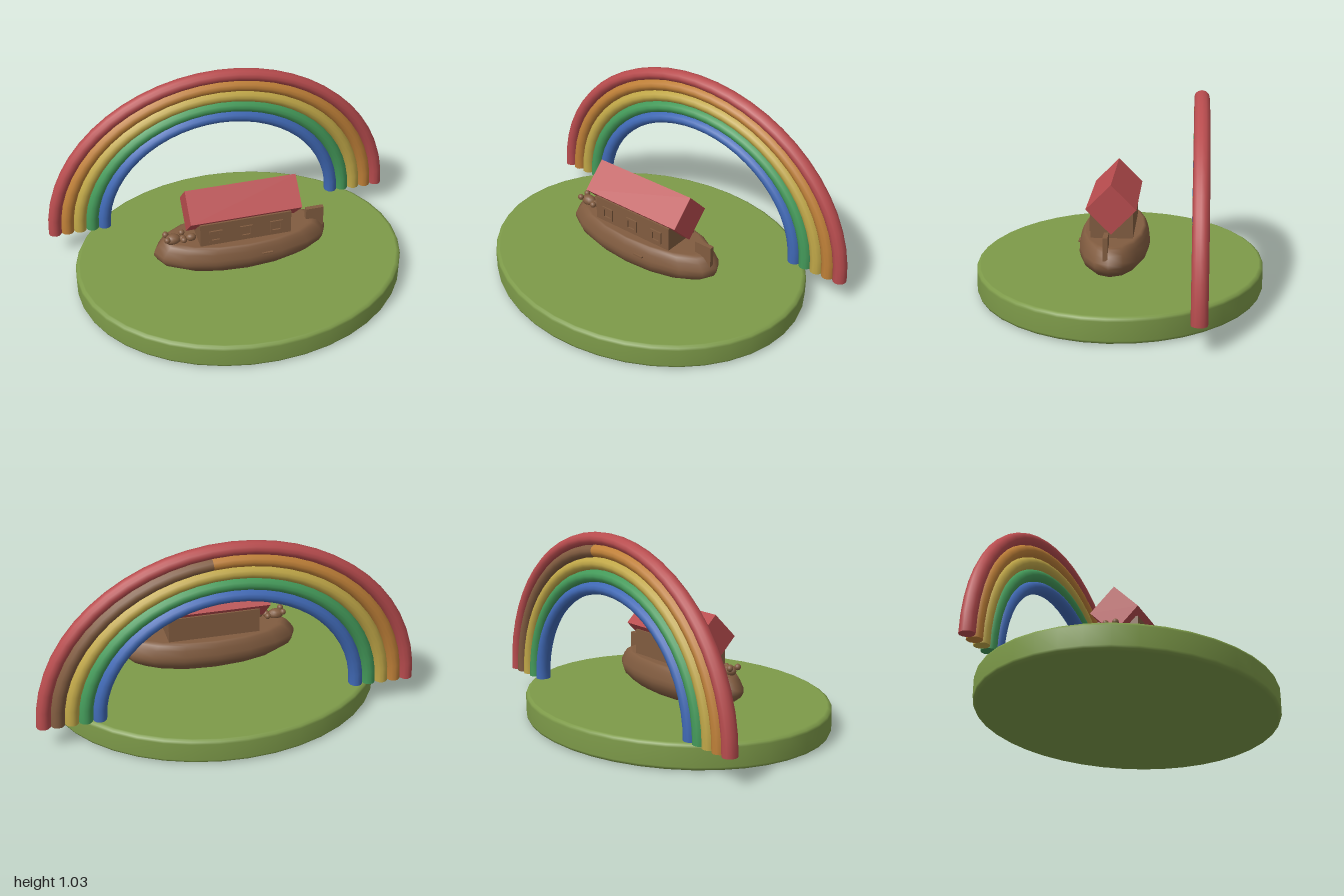
import * as THREE from 'three';

const mat = (name, color) => {
  const m = new THREE.MeshStandardMaterial({ color });
  m.name = name;
  return m;
};

export function createModel() {
  const model = new THREE.Group();
  const red = mat('red', 0xb84c4e), orange = mat('orange', 0xbf8038), yellow = mat('yellow', 0xc0a748);
  const green = mat('green', 0x449a5a), blue = mat('blue', 0x4069b5);
  const wood = mat('wood brown', 0x815c40), grass = mat('grass green', 0x7d9a49);

  const add = (name, geo, material, x = 0, y = 0, z = 0, parent = model) => {
    const m = new THREE.Mesh(geo, material);
    m.name = name;
    m.position.set(x, y, z);
    parent.add(m);
    return m;
  };
  const box = (w, h, d) => new THREE.BoxGeometry(w, h, d);
  const lathe = (points, segments) =>
    new THREE.LatheGeometry(points.map(([r, y]) => new THREE.Vector2(r, y)), segments);

  // Oval ground with softened rims
  add('ground', lathe([[0, 0], [0.88, 0], [0.887, 0.001], [0.9, 0.008], [0.905, 0.02], [0.905, 0.115],
    [0.9, 0.127], [0.887, 0.134], [0.88, 0.135], [0, 0.135]], 40), grass).scale.z = 0.848;

  // Rainbow: five nested half rings, slightly flattened
  const rainbow = new THREE.Group();
  rainbow.name = 'rainbow';
  rainbow.position.set(0, 0.135, -0.425);
  rainbow.scale.set(1, 0.9, 1.08);
  model.add(rainbow);
  const tube = 0.037;
  [['red', red], ['orange', orange], ['yellow', yellow], ['green', green], ['blue', blue]].forEach(([name, m], i) => {
    const r = 0.963 - i * 0.0705;
    const arc = new THREE.TorusGeometry(r, tube, 12, 28, Math.PI);
    let paint = m;
    if (name === 'orange') {
      // Brown rear face on the left half of the orange band
      const p = arc.attributes.position, idx = arc.index.array, front = [], rear = [];
      for (let t = 0; t < idx.length; t += 3) {
        const tri = [idx[t], idx[t + 1], idx[t + 2]];
        const x = tri.reduce((s, v) => s + p.getX(v), 0) / 3;
        const z = tri.reduce((s, v) => s + p.getZ(v), 0) / 3;
        (x > 0.1 && z < -0.003 ? rear : front).push(...tri);
      }
      arc.setIndex([...front, ...rear]);
      arc.addGroup(0, front.length, 0);
      arc.addGroup(front.length, rear.length, 1);
      paint = [orange, wood];
    }
    add(name + 'Band', arc, paint, 0, 0, 0, rainbow);
    for (const s of [-1, 1])
      add(name + 'BandFoot', new THREE.CircleGeometry(tube, 12), m, s * r, 0, 0, rainbow).rotation.x = Math.PI / 2;
  });

  // Boat, set slightly forward of the centre line
  const boat = new THREE.Group();
  boat.name = 'boat';
  boat.position.z = 0.028;
  model.add(boat);
  add('hull', lathe([[0, 0.135], [0.118, 0.135], [0.128, 0.137], [0.155, 0.155], [0.181, 0.19], [0.188, 0.22],
    [0.187, 0.245], [0.178, 0.28], [0.169, 0.305], [0.16, 0.313], [0.152, 0.315], [0, 0.315]], 16),
  wood, 0, 0, 0, boat).scale.x = 2.57;
  add('cabin', box(0.5, 0.15, 0.22), wood, 0, 0.375, 0, boat);
  add('roof', box(0.606, 0.184, 0.184), red, 0, 0.48, 0, boat).rotation.x = Math.PI / 4;
  add('sternBoard', box(0.1, 0.12, 0.025), wood, 0.413, 0.32, 0.017, boat);
  add('hullSlot', box(0.06, 0.008, 0.012), wood, 0.1, 0.255, 0.18, boat);

  // Windows: raised square frames with an open centre
  const frame = new THREE.Shape();
  frame.moveTo(-0.035, -0.035).lineTo(0.035, -0.035).lineTo(0.035, 0.035).lineTo(-0.035, 0.035).closePath();
  const hole = new THREE.Path();
  hole.moveTo(-0.022, -0.022).lineTo(-0.022, 0.022).lineTo(0.022, 0.022).lineTo(0.022, -0.022).closePath();
  frame.holes.push(hole);
  const frameGeo = new THREE.ExtrudeGeometry(frame, { depth: 0.008, bevelEnabled: false });
  for (const x of [-0.167, 0, 0.167]) add('windowFrame', frameGeo, wood, x, 0.372, 0.11, boat);

  // Small animal on the bow, built of round lumps
  const animal = new THREE.Group();
  animal.name = 'animal';
  boat.add(animal);
  const ball = new THREE.SphereGeometry(1, 12, 8);
  [['body', -0.383, 0.33, 0.027, 0.044, 0.03, 0.032],
    ['head', -0.33, 0.332, 0.035, 0.02, 0.018, 0.02],
    ['ear', -0.328, 0.34, -0.006, 0.017, 0.017, 0.017],
    ['ear', -0.328, 0.335, 0.055, 0.017, 0.017, 0.017],
    ['paw', -0.417, 0.35, 0.055, 0.017, 0.017, 0.017],
    ['paw', -0.417, 0.35, 0.003, 0.017, 0.017, 0.017],
    ['tail', -0.285, 0.335, 0.04, 0.028, 0.022, 0.02]].forEach(([name, x, y, z, a, b, c]) =>
    add(name, ball, wood, x, y, z, animal).scale.set(a, b, c));

  return model;
}
